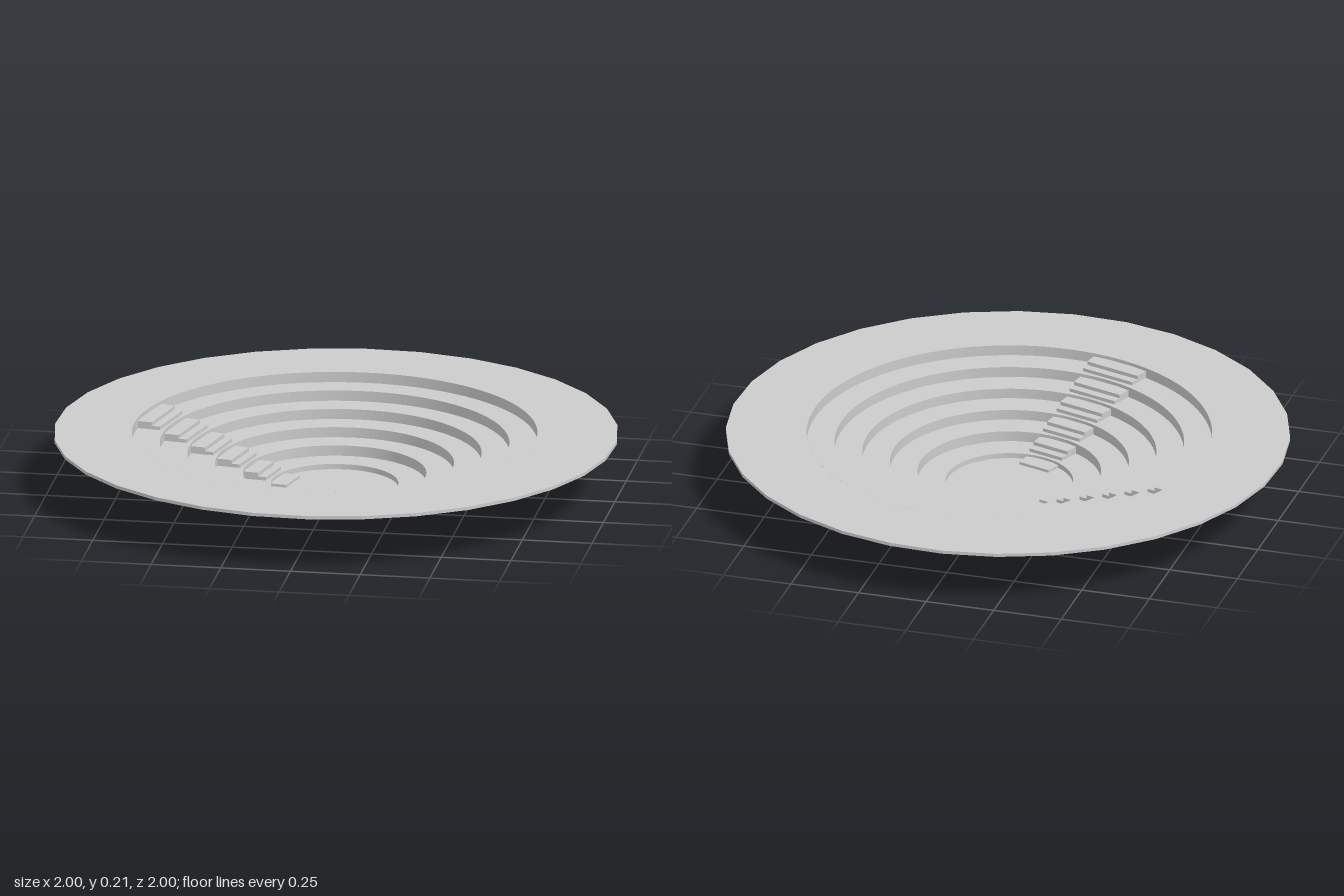
import * as THREE from 'three';
import { toCreasedNormals } from 'three/addons/utils/BufferGeometryUtils.js';

const RADII = [0.226, 0.325, 0.423, 0.521, 0.619, 0.718]; // risers, inside to outside
const FLOORS = [0.001, 0.02, 0.058, 0.095, 0.132, 0.17, 0.208]; // floor inside each riser, then the rim
const RIM = 0.012;
const CENTRE_X = -0.005;

export function createModel() {
  const group = new THREE.Group();
  const mat = new THREE.MeshStandardMaterial({ color: 0xcccccc, side: THREE.DoubleSide });
  const add = (name, geo, parent = group) => {
    const mesh = new THREE.Mesh(geo, mat);
    mesh.name = name;
    parent.add(mesh);
    return mesh;
  };
  // flat plan shape in (x, -z) raised from y0 to y1
  const slab = (shape, y0, y1, curveSegments = 96) =>
    new THREE.ExtrudeGeometry(shape, { depth: y1 - y0, bevelEnabled: false, curveSegments })
      .rotateX(-Math.PI / 2).translate(0, y0, 0);

  // Terraced bowl: thin stepped shell
  const profile = [new THREE.Vector2(0, FLOORS[0])];
  RADII.forEach((r, i) => {
    profile.push(new THREE.Vector2(r, FLOORS[i]), new THREE.Vector2(r, FLOORS[i + 1]));
  });
  const bowl = add('terraces', toCreasedNormals(new THREE.LatheGeometry(profile, 96), 0.5));
  bowl.position.x = CENTRE_X;

  // Ground around the bowl: faceted disc with a round hole
  const outline = [];
  for (let i = 0; i < 32; i++) {
    const a = Math.PI / 2 - THREE.MathUtils.degToRad(8 + i * 11.25);
    outline.push(new THREE.Vector2(Math.cos(a), Math.sin(a)));
  }
  const disc = new THREE.Shape(outline);
  disc.holes.push(new THREE.Path().absarc(CENTRE_X, 0, RADII[5], 0, Math.PI * 2));
  add('rim', slab(disc, FLOORS[6] - RIM, FLOORS[6]));

  // One tread: wedge widening outwards along local x
  const tread = (r0, r1, y0, y1) => {
    const w0 = (0.095 + 0.178 * r0) / 2, w1 = (0.095 + 0.178 * r1) / 2;
    return slab(new THREE.Shape([
      new THREE.Vector2(r0, -w0), new THREE.Vector2(r1, -w1),
      new THREE.Vector2(r1, w1), new THREE.Vector2(r0, w0),
    ]), y0, y1);
  };

  // Two radial stairways, two treads against each riser and a single block at the bottom
  for (const [name, azimuth] of [['sideStairs', 193.5], ['frontStairs', 107]]) {
    const stairs = new THREE.Group();
    stairs.name = name;
    RADII.forEach((r, i) => {
      const y = FLOORS[i];
      if (i === 0) {
        add('bottomStep', tread(0.165, r, y, y + 0.01), stairs);
        return;
      }
      add('lowerStep', tread(r - 0.085, r, y, y + 0.0125), stairs);
      add('upperStep', tread(r - 0.055, r, y + 0.0125, y + 0.026), stairs);
    });
    stairs.rotation.y = -THREE.MathUtils.degToRad(azimuth);
    group.add(stairs);
  }
  return group;
}
